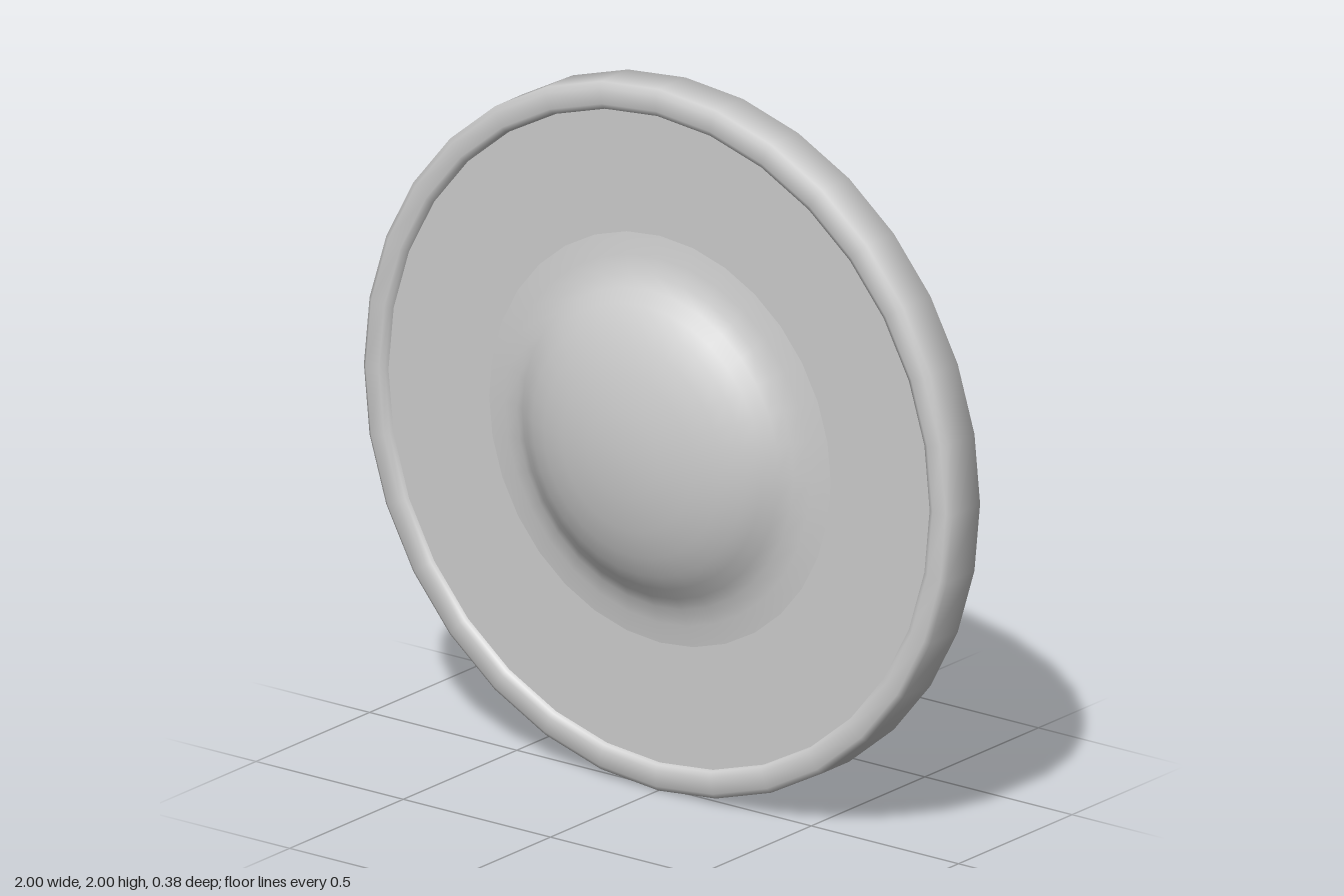
import * as THREE from 'three';
import { toCreasedNormals } from 'three/addons/utils/BufferGeometryUtils.js';

const SIDES = 32;

export function createModel() {
  const model = new THREE.Group();
  model.name = 'roundShield';
  const material = new THREE.MeshStandardMaterial({ color: 0xcccccc });

  const add = (name, geometry) => {
    const mesh = new THREE.Mesh(geometry, material);
    mesh.name = name;
    mesh.position.y = 1;
    model.add(mesh);
  };

  // Turned part: [radius, z] profile, counter-clockwise so faces point outwards
  const turned = (name, profile, crease = 0.6) => {
    const points = profile.map(([r, z]) => new THREE.Vector2(r, z));
    const geometry = new THREE.LatheGeometry(points, SIDES).rotateX(Math.PI / 2);
    add(name, toCreasedNormals(geometry, crease));
  };

  // Rim band with softened edges
  turned('rim', [
    [0.92, -0.085], [0.925, -0.1], [0.94, -0.107], [0.985, -0.107], [1, -0.095],
    [1, 0.025], [0.985, 0.037], [0.94, 0.037], [0.925, 0.03], [0.92, 0.01],
  ], 1);

  // Board: flat front, flat outer band and sloping hollow at the back
  turned('boardFront', [[0.93, 0.018], [0.48, 0.018]]);
  turned('boardBack', [[0.48, 0], [0.83, -0.09], [0.93, -0.09]], 0.2);

  // Domed boss with a flared foot, hollow behind
  turned('boss', [
    [0.58, 0.018], [0.52, 0.027], [0.47, 0.039], [0.435, 0.06], [0.4, 0.088],
    [0.36, 0.113], [0.3, 0.14], [0.22, 0.164], [0.12, 0.182], [0, 0.188],
  ]);
  turned('bossHollow', [
    [0, 0.172], [0.12, 0.166], [0.22, 0.148], [0.3, 0.124],
    [0.36, 0.096], [0.42, 0.054], [0.48, 0],
  ]);

  // Handle: rounded sections [distance from centre, half width, back z, front z]
  const half = [
    [0.83, 0.015, -0.108, -0.088],
    [0.815, 0.034, -0.12, -0.085],
    [0.77, 0.045, -0.138, -0.085],
    [0.52, 0.057, -0.164, -0.088],
    [0.285, 0.067, -0.186, -0.095],
    [0.25, 0.065, -0.188, -0.1],
    [0.215, 0.043, -0.182, -0.112],
  ];
  const stations = [
    ...half.map(([y, ...rest]) => [-y, ...rest]),
    ...half.slice().reverse(),
  ];
  add('handle', loft(stations, 16));

  return model;
}

// Joins rounded-rectangle sections along y and closes both ends
function loft(stations, count) {
  const positions = [];
  const index = [];
  const round = (v) => Math.sign(v) * Math.abs(v) ** 0.6;
  for (const [y, w, back, front] of stations) {
    for (let i = 0; i < count; i++) {
      const a = (i / count) * Math.PI * 2;
      positions.push(
        w * round(Math.cos(a)),
        y,
        (back + front) / 2 + ((front - back) / 2) * round(Math.sin(a)),
      );
    }
  }
  for (let s = 0; s < stations.length - 1; s++) {
    for (let i = 0; i < count; i++) {
      const a = s * count + i;
      const b = s * count + ((i + 1) % count);
      index.push(a, a + count, b, b, a + count, b + count);
    }
  }
  const last = (stations.length - 1) * count;
  for (let i = 1; i < count - 1; i++) {
    index.push(0, i, i + 1, last, last + i + 1, last + i);
  }
  const geometry = new THREE.BufferGeometry();
  geometry.setAttribute('position', new THREE.Float32BufferAttribute(positions, 3));
  geometry.setIndex(index);
  return toCreasedNormals(geometry, 0.9);
}
